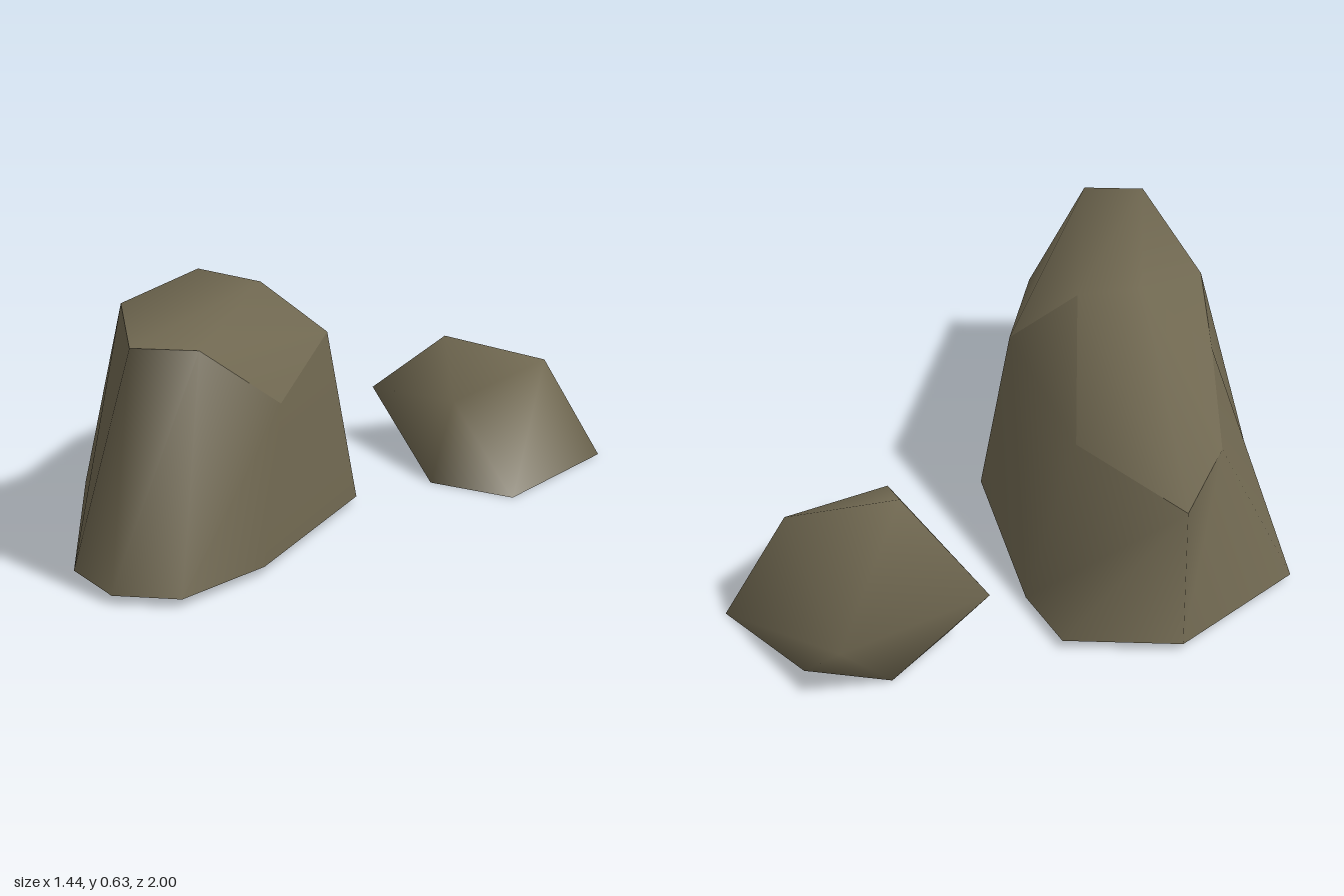
import * as THREE from 'three';
import { toCreasedNormals } from 'three/addons/utils/BufferGeometryUtils.js';
import { ConvexGeometry } from 'three/addons/geometries/ConvexGeometry.js';

const stone = new THREE.MeshStandardMaterial({ color: 0x6f6750, side: THREE.DoubleSide });
stone.name = 'olive stone';

function stoneMesh(name, geometry) {
  const mesh = new THREE.Mesh(geometry, stone);
  mesh.name = name;
  return mesh;
}

// Smooth surface from corners and convex polygons given as corner indices
function smoothPatch(corners, polygons) {
  const index = [];
  for (const p of polygons) {
    for (let i = 1; i < p.length - 1; i++) index.push(p[0], p[i], p[i + 1]);
  }
  const g = new THREE.BufferGeometry();
  g.setAttribute('position', new THREE.Float32BufferAttribute(corners.flat(), 3));
  g.setIndex(index);
  g.computeVertexNormals();
  return g;
}

function largeBoulder() {
  // Ground outline (x, z), counter-clockwise, starting at the widest right corner
  const base = [
    [0.11, 0.03], [-0.04, -0.54], [-0.14, -0.73], [-0.44, -0.73], [-0.72, -0.4],
    [-0.65, 0], [-0.46, 0.82], [-0.32, 1], [-0.15, 1], [-0.01, 0.71],
  ].map(([x, z]) => [x, 0.02, z]);
  // Shoulder outline, one point above each ground point (the back corner serves two)
  const back = [-0.44, 0.4, -0.73];
  const shoulder = [
    [0.03, 0.47, 0.03], [-0.16, 0.37, -0.36], back, back, [-0.53, 0.39, -0.4],
    [-0.51, 0.45, 0.03], [-0.48, 0.57, 0.24], [-0.32, 0.57, 0.79], [-0.15, 0.57, 0.79], [0, 0.39, 0.54],
  ];
  const crestLeft = [-0.32, 0.63, 0.03], crestRight = [-0.15, 0.6, 0.03];

  // Walls: an open strip whose ends meet in a crease at the first corner
  const n = base.length;
  const low = (c) => c;
  const high = (c) => n + 1 + (c === 2 ? 3 : c);
  const crest = 2 * (n + 1);
  const walls = [[high(0), high(1), crest]];
  for (let c = 0; c < n; c++) {
    if (c === 2) walls.push([low(c), low(c + 1), high(c)]);
    else if (c === 0 || c === 9) walls.push([low(c + 1), high(c + 1), high(c), low(c)]);
    else walls.push([low(c), low(c + 1), high(c + 1), high(c)]);
  }
  const wallCorners = [...base, base[0], ...shoulder, shoulder[0], crestRight];

  // Top: shoulder points 0-9, then the two crest points
  const L = n, R = n + 1;
  const top = [
    [7, 8, R, L], [8, 9, 0], [8, 0, R], [R, 1, 3], [R, 3, L], [L, 3, 4, 5, 6, 7],
  ];

  const group = new THREE.Group();
  group.name = 'largeBoulder';
  group.add(
    stoneMesh('boulderWalls', smoothPatch(wallCorners, walls)),
    stoneMesh('boulderTop', smoothPatch([...shoulder, crestLeft, crestRight], top)),
  );
  return group;
}

function smallBoulder() {
  // Ground outline (x, z)
  const base = [
    [0.52, -0.1], [0.72, -0.62], [0.49, -0.86], [0.27, -0.89], [0.15, -0.68], [0.28, -0.22],
  ].map(([x, z]) => [x, 0, z]);
  const overhang = [[0.38, 0.15, -1], [0.04, 0.15, -0.73]];
  // Crest and front shoulder
  const crest = [[0.27, 0.34, -0.6], [0.56, 0.28, -0.6], [0.33, 0.21, -0.32]];
  const hull = new ConvexGeometry([...base, ...overhang, ...crest].map((p) => new THREE.Vector3(...p)));

  // Leave the ground side open
  const src = hull.attributes.position;
  const pos = [];
  for (let i = 0; i < src.count; i += 3) {
    const tri = [i, i + 1, i + 2];
    if (tri.every((k) => src.getY(k) < 0.001)) continue;
    for (const k of tri) pos.push(src.getX(k), src.getY(k), src.getZ(k));
  }
  const shell = new THREE.BufferGeometry();
  shell.setAttribute('position', new THREE.Float32BufferAttribute(pos, 3));
  return stoneMesh('smallBoulder', toCreasedNormals(shell, Math.PI));
}

export function createModel() {
  const group = new THREE.Group();
  group.name = 'rocks';
  group.add(largeBoulder(), smallBoulder());
  return group;
}
